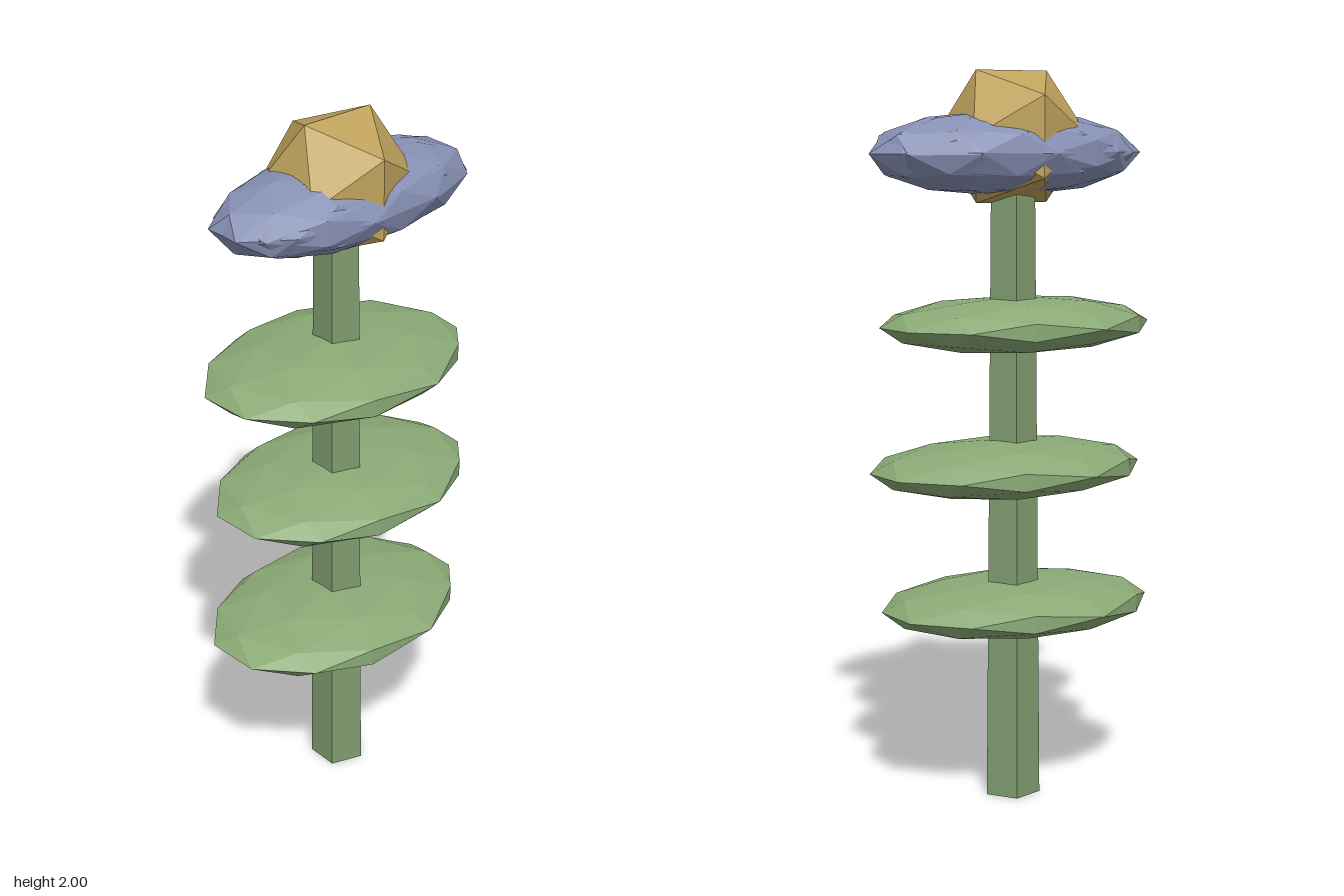
import * as THREE from 'three';

const CENTER_X = -0.016;

function part(name, geometry, color) {
  const mesh = new THREE.Mesh(geometry, new THREE.MeshStandardMaterial({ color, flatShading: true }));
  mesh.name = name;
  return mesh;
}

// Faceted ellipsoid: the facets are turned first, then stretched
function facetedEllipsoid(rx, ry, rz, turnX, turnY) {
  return new THREE.IcosahedronGeometry(1, 1).rotateX(turnX).rotateY(turnY).scale(rx, ry, rz);
}

export function createModel() {
  const model = new THREE.Group();
  model.name = 'flower';

  // Five-sided tapering stem with one corner towards +x
  const stem = part('stem', new THREE.CylinderGeometry(0.063, 0.079, 1.78, 5).rotateY(Math.PI / 2), 0x7f9c6e);
  stem.position.set(CENTER_X, 0.89, 0);
  model.add(stem);

  // Three flat leaves, shifted to alternating sides of the stem
  [0.537, 0.928, 1.317].forEach((y, i) => {
    const side = i % 2 ? 1 : -1;
    const leaf = part('leaf' + (i + 1), facetedEllipsoid(0.395, 0.077, 0.285, 0, 0.311), 0x8aaa76);
    leaf.position.set(CENTER_X + side * 0.022, y, -side * 0.0125);
    model.add(leaf);
  });

  // Ragged bloom of overlapping petals, each turned differently
  const petals = new THREE.Group();
  petals.name = 'petals';
  petals.position.set(0, 1.78, 0);
  const count = 9;
  for (let i = 0; i < count; i++) {
    const angle = (i / count) * Math.PI * 2;
    const petal = part('petal' + (i + 1), facetedEllipsoid(0.365, 0.112, 0.172, angle * 1.5, angle), 0x8790b4);
    petal.position.set(Math.cos(angle) * 0.045, 0, Math.sin(angle) * 0.02);
    petals.add(petal);
  }
  model.add(petals);

  // Golden flower centre
  const heart = part('flowerCentre', new THREE.IcosahedronGeometry(0.207, 0), 0xbfa25c);
  heart.position.set(CENTER_X, 1.824, 0);
  model.add(heart);

  return model;
}
